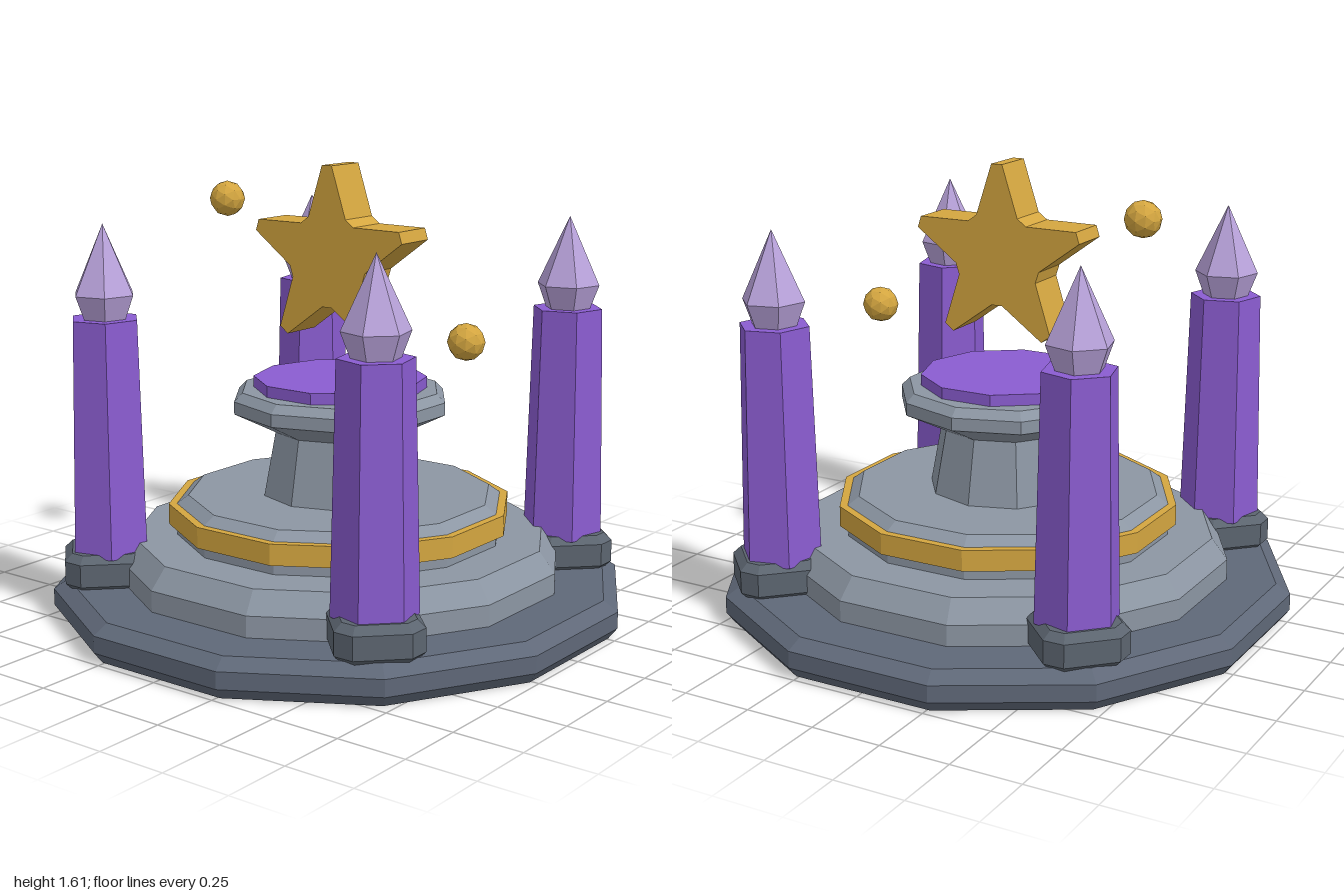
import * as THREE from 'three';

const mat = (name, color) => {
  const m = new THREE.MeshStandardMaterial({ color });
  m.name = name;
  return m;
};

// Faceted normals for the low-poly style
function facet(geo) {
  const g = geo.index ? geo.toNonIndexed() : geo;
  g.computeVertexNormals();
  return g;
}

function add(parent, name, geo, material, x = 0, y = 0, z = 0) {
  const mesh = new THREE.Mesh(facet(geo), material);
  mesh.name = name;
  mesh.position.set(x, y, z);
  parent.add(mesh);
  return mesh;
}

// Turned solid with flat sides; profile radii are scaled by k
function turned(profile, sides, start = 0, k = 1) {
  const pts = profile.map(([r, y]) => new THREE.Vector2(r * k, y));
  return new THREE.LatheGeometry(pts, sides, start, Math.PI * 2);
}

// Star with blunt tips and blunt inner corners
function starGeometry(outer, inner, blunt, depth) {
  const shape = new THREE.Shape();
  for (let i = 0; i < 10; i++) {
    const a = Math.PI / 2 + (i * Math.PI) / 5;
    const r = i % 2 ? inner : outer;
    for (const s of [-blunt, blunt]) {
      const x = r * Math.cos(a) - s * Math.sin(a);
      const y = r * Math.sin(a) + s * Math.cos(a);
      if (i === 0 && s < 0) shape.moveTo(x, y);
      else shape.lineTo(x, y);
    }
  }
  shape.closePath();
  const g = new THREE.ExtrudeGeometry(shape, { depth, bevelEnabled: false });
  g.translate(0, 0, -depth / 2);
  return g;
}

// Square block with cut corners and bevelled rims, standing on y = 0
function plinthGeometry(half, cut, height, bevel) {
  const h = half - bevel, c = h - cut;
  const shape = new THREE.Shape(
    [[h, -c], [h, c], [c, h], [-c, h], [-h, c], [-h, -c], [-c, -h], [c, -h]]
      .map(([x, y]) => new THREE.Vector2(x, y)));
  const g = new THREE.ExtrudeGeometry(shape, {
    depth: height - 2 * bevel, bevelEnabled: true,
    bevelSegments: 1, bevelSize: bevel, bevelThickness: bevel,
  });
  g.rotateX(-Math.PI / 2);
  g.translate(0, bevel, 0);
  return g;
}

export function createModel() {
  const slab = mat('dark slate', 0x5f6878);
  const stone = mat('grey stone', 0x8c96a3);
  const block = mat('plinth stone', 0x5c6570);
  const gold = mat('gold', 0xd4a640);
  const purple = mat('purple crystal', 0x8a5cd0);
  const lavender = mat('pale lavender', 0xb9a3db);
  const model = new THREE.Group();
  model.name = 'starShrine';

  // Twelve-sided stepped floor (radii given to the flat sides)
  const k12 = 1 / Math.cos(Math.PI / 12), turn = Math.PI / 12;
  add(model, 'baseSlab', turned(
    [[0, 0], [0.97, 0], [1, 0.04], [1, 0.1], [0.95, 0.135], [0, 0.135]], 12, turn, k12), slab);
  add(model, 'lowerStep', turned(
    [[0, 0.12], [0.78, 0.12], [0.78, 0.21], [0.725, 0.285], [0, 0.285]], 12, turn, k12), stone);
  add(model, 'upperStep', turned(
    [[0, 0.28], [0.57, 0.28], [0.57, 0.4], [0.53, 0.43], [0, 0.43]], 12, turn, k12), stone);
  add(model, 'goldBand', turned(
    [[0.56, 0.325], [0.598, 0.325], [0.598, 0.4], [0.56, 0.4], [0.56, 0.325]], 12, turn, k12), gold);

  // Ten-sided pedestal with a crystal top
  add(model, 'pedestal', turned(
    [[0, 0.42], [0.283, 0.43], [0.24, 0.66], [0.39, 0.735], [0.39, 0.78], [0.36, 0.81], [0, 0.81]], 10), stone);
  add(model, 'pedestalTop', turned(
    [[0, 0.8], [0.31, 0.8], [0.31, 0.85], [0, 0.85]], 10, Math.PI / 2), purple);

  // Four corner pillars, each turned toward the centre
  for (let i = 0; i < 4; i++) {
    const arm = new THREE.Group();
    arm.name = 'pillar' + (i + 1);
    arm.rotation.y = Math.PI / 4 + (i * Math.PI) / 2;
    add(arm, 'plinth', plinthGeometry(0.148, 0.037, 0.135, 0.027), block, 0.843, 0.12, 0);
    add(arm, 'pillarShaft', turned(
      [[0, 0.24], [0.147, 0.24], [0.127, 1.08], [0, 1.08]], 6), purple, 0.828);
    add(arm, 'pillarTip', turned(
      [[0, 1.07], [0.08, 1.075], [0.114, 1.165], [0, 1.41]], 6), lavender, 0.828);
    model.add(arm);
  }

  // Floating star and its two orbs
  add(model, 'star', starGeometry(0.33, 0.167, 0.021, 0.155), gold, 0, 1.275, 0);
  add(model, 'rightOrb', new THREE.IcosahedronGeometry(0.065, 1), gold, -0.52, 1.45, 0);
  add(model, 'leftOrb', new THREE.IcosahedronGeometry(0.065, 1), gold, 0.535, 1.035, 0);
  return model;
}
